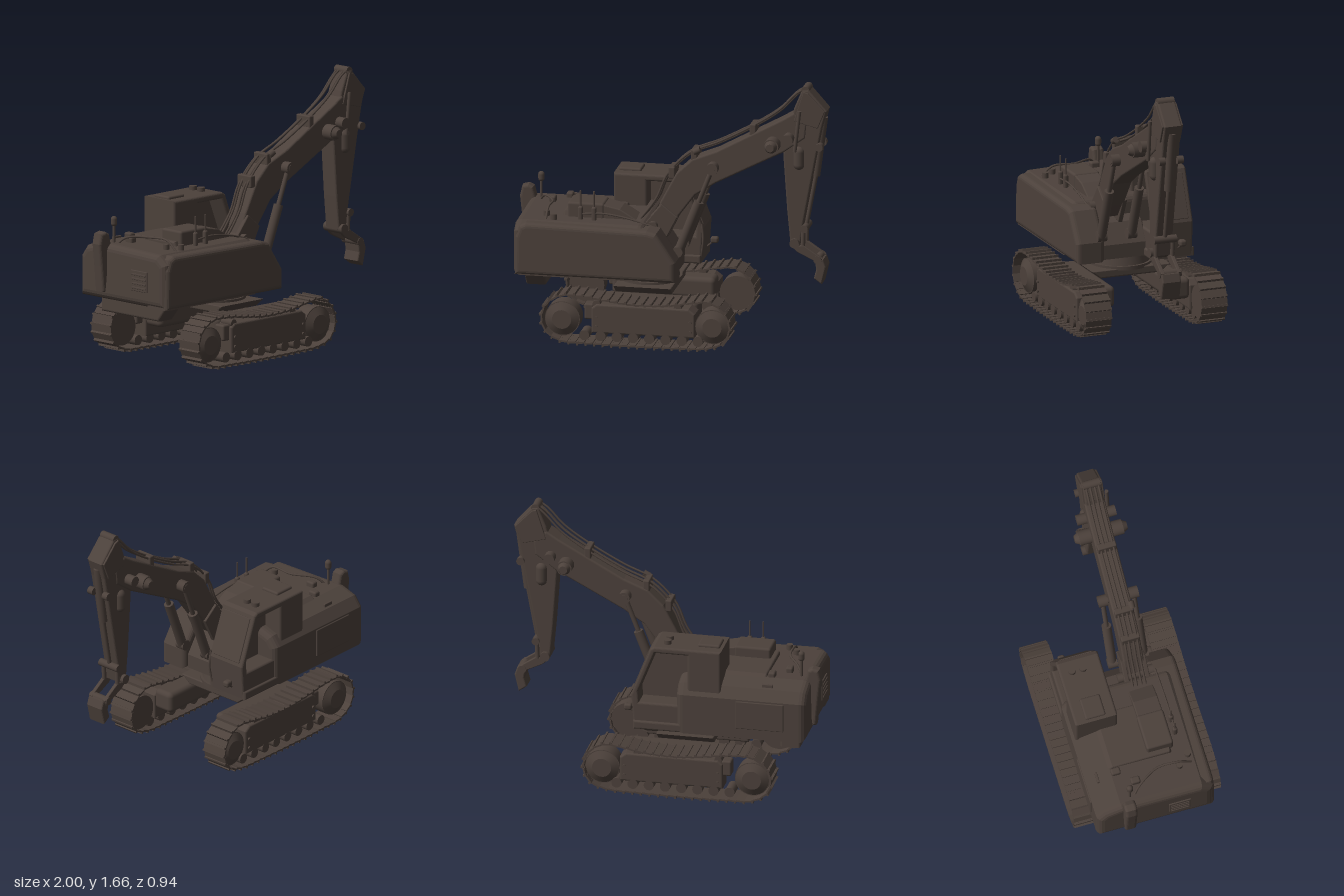
import * as THREE from 'three';
import { RoundedBoxGeometry } from 'three/addons/geometries/RoundedBoxGeometry.js';

export function createModel() {
  const root = new THREE.Group();
  root.name = 'excavator';
  const paint = new THREE.MeshStandardMaterial({ color: 0x4c413b });
  paint.name = 'dark brown';

  const add = (name, geo, parent = root) => {
    const m = new THREE.Mesh(geo, paint);
    m.name = name;
    parent.add(m);
    return m;
  };
  const toShape = (pts) => new THREE.Shape(pts.map((p) => new THREE.Vector2(p[0], p[1])));
  const sweep = (shape, length, b) => new THREE.ExtrudeGeometry(shape, {
    depth: length - 2 * b, bevelEnabled: true, bevelThickness: b, bevelSize: b, bevelOffset: -b, bevelSegments: 4,
  });
  // side profile swept from z0 to z1 with softened edges
  const slab = (name, pts, z0, z1, b = 0.015, hole = null, parent = root) => {
    const s = toShape(pts);
    if (hole) s.holes.push(toShape(hole));
    return add(name, sweep(s, z1 - z0, b).translate(0, 0, z0 + b), parent);
  };
  // (z, y) cross-section swept from x0 to x1
  const prism = (name, pts, x0, x1, b) => {
    const s = toShape(pts.map(([z, y]) => [-z, y]));
    return add(name, sweep(s, x1 - x0, b).rotateY(Math.PI / 2).translate(x0 + b, 0, 0));
  };
  // rounded box from its limits
  const box = (name, x0, x1, y0, y1, z0, z1, r = 0.012, parent = root) => {
    const g = new RoundedBoxGeometry(x1 - x0, y1 - y0, z1 - z0, 3, r);
    return add(name, g.translate((x0 + x1) / 2, (y0 + y1) / 2, (z0 + z1) / 2), parent);
  };
  // cylinder between two points
  const rod = (name, a, b, r, parent = root, r2 = r, sides = 20) => {
    const A = new THREE.Vector3(...a), B = new THREE.Vector3(...b), d = B.clone().sub(A);
    const m = add(name, new THREE.CylinderGeometry(r2, r, d.length(), sides), parent);
    m.position.copy(A).add(B).multiplyScalar(0.5);
    m.quaternion.setFromUnitVectors(new THREE.Vector3(0, 1, 0), d.normalize());
    return m;
  };
  const hose = (name, pts, r) => add(name, new THREE.TubeGeometry(
    new THREE.CatmullRomCurve3(pts.map((p) => new THREE.Vector3(...p))), 40, r, 8));

  // crawler tracks
  const loop = new THREE.CatmullRomCurve3([
    [-0.738, 0.17], [-0.71, 0.255], [-0.62, 0.315], [-0.48, 0.32], [-0.33, 0.3], [-0.15, 0.282], [0.05, 0.29],
    [0.2, 0.315], [0.32, 0.322], [0.41, 0.26], [0.442, 0.16], [0.4, 0.07], [0.3, 0.03], [0.1, 0.02], [-0.2, 0.017],
    [-0.45, 0.02], [-0.62, 0.03], [-0.71, 0.085],
  ].map((p) => new THREE.Vector3(p[0], p[1], 0)), true);
  const shoeCount = 50;
  const shoeGeo = new THREE.BoxGeometry(0.053, 0.011, 0.172);
  const cleatGeo = new THREE.BoxGeometry(0.012, 0.02, 0.172);
  for (const s of [1, -1]) {
    const track = new THREE.Group();
    track.name = s > 0 ? 'nearTrack' : 'farTrack';
    root.add(track);
    for (let i = 0; i < shoeCount; i++) {
      const p = loop.getPointAt(i / shoeCount), t = loop.getTangentAt(i / shoeCount);
      const shoe = new THREE.Group();
      shoe.name = 'trackShoe';
      shoe.position.set(p.x, p.y, s * 0.385);
      shoe.rotation.z = Math.atan2(t.y, t.x) + 0.1;
      add('shoePlate', shoeGeo, shoe);
      add('shoeCleat', cleatGeo, shoe).position.set(0.02, 0.004, 0);
      track.add(shoe);
    }
    const zz = (a, b) => (s > 0 ? [a, b] : [-b, -a]);
    for (const x of [-0.615, 0.33]) {
      rod('trackWheel', [x, 0.158, s * 0.325], [x, 0.158, s * 0.425], 0.11, track, 0.11, 28);
      rod('wheelHub', [x, 0.158, s * 0.425], [x, 0.158, s * 0.45], 0.105, track, 0.06, 28);
    }
    slab('trackFrame', [[-0.43, 0.08], [0.22, 0.08], [0.22, 0.235], [0.18, 0.265], [-0.4, 0.265], [-0.43, 0.24]],
      ...zz(0.31, 0.44), 0.012, null, track);
    box('tensioner', -0.48, -0.42, 0.16, 0.26, ...zz(0.34, 0.42), 0.012, track);
    box('innerFrame', -0.43, 0.22, 0.15, 0.285, ...zz(0.18, 0.32), 0.03, track);
    for (let i = 0; i < 8; i++) {
      const x = -0.475 + i * 0.102;
      rod('roller', [x, 0.062, s * 0.33], [x, 0.062, s * 0.44], 0.032, track);
    }
    for (const x of [-0.4, -0.16, 0.11])
      rod('carrierRoller', [x, 0.265, s * 0.34], [x, 0.265, s * 0.43], 0.024, track);
    for (const x of [-0.4, 0.19]) for (const y of [0.12, 0.18])
      rod('frameBolt', [x, y, s * 0.435], [x, y, s * 0.45], 0.01, track, 0.01, 10);
  }

  // undercarriage centre and slewing ring
  prism('carBody', [[-0.2, 0.285], [0.2, 0.285], [0.26, 0.335], [-0.26, 0.335]], -0.33, 0.03, 0.01);
  for (const [y0, y1, ra, rb] of [[0.325, 0.35, 0.2, 0.2], [0.35, 0.42, 0.185, 0.17]])
    rod('slewRing', [-0.15, y0, 0], [-0.15, y1, 0], ra, root, rb, 40);
  prism('rearUndertray', [[-0.25, 0.315], [0.25, 0.315], [0.31, 0.39], [0.3, 0.42], [-0.25, 0.42]], -0.88, -0.75, 0.015);
  slab('rearBracket', [[-0.76, 0.34], [-0.62, 0.39], [-0.62, 0.42], [-0.76, 0.42]], -0.12, 0.18, 0.008);

  // upper body with sloping shoulders
  prism('mainHull', [[-0.378, 0.405], [0.37, 0.405], [0.37, 0.69], [0.3, 0.745], [-0.22, 0.76], [-0.33, 0.725], [-0.378, 0.66]],
    -0.94, -0.12, 0.045);
  slab('sideTank', [[-0.93, 0.405], [0.08, 0.405], [0.08, 0.535], [-0.04, 0.715], [-0.1, 0.73], [-0.86, 0.74], [-0.9, 0.72],
    [-0.925, 0.65]], 0.19, 0.38, 0.03);
  slab('boomDeck', [[-0.3, 0.41], [0.05, 0.41], [0.05, 0.5], [-0.03, 0.62], [-0.3, 0.68]], -0.1, 0.2, 0.012);
  slab('cabBase', [[-0.42, 0.405], [0.15, 0.405], [0.15, 0.46], [-0.42, 0.46]], -0.375, -0.08, 0.012);

  // engine hood: low hump with a taller box beside the boom
  prism('engineHood', [[-0.32, 0.7], [0.2, 0.7], [0.17, 0.775], [-0.2, 0.775]], -0.66, -0.3, 0.012);
  box('airBox', -0.63, -0.4, 0.72, 0.84, 0.03, 0.2, 0.015);
  slab('hoodStep', [[-0.42, 0.72], [-0.12, 0.7], [-0.3, 0.81], [-0.42, 0.835]], 0.035, 0.195, 0.008);

  // rear fittings
  slab('rearDuct', [[-0.97, 0.46], [-0.945, 0.455], [-0.925, 0.6], [-0.895, 0.74], [-0.915, 0.82], [-0.945, 0.835], [-0.985, 0.825],
    [-1.0, 0.76], [-0.985, 0.62]], -0.212, -0.135, 0.018);
  box('rearGrille', -0.948, -0.93, 0.5, 0.63, 0.08, 0.22, 0.004);
  for (let i = 0; i < 4; i++) box('grilleBar', -0.953, -0.937, 0.515 + i * 0.028, 0.527 + i * 0.028, 0.09, 0.21, 0.003);
  rod('beaconPost', [-0.865, 0.73, -0.15], [-0.865, 0.88, -0.15], 0.008);
  add('beacon', new THREE.CapsuleGeometry(0.02, 0.025, 6, 14)).position.set(-0.865, 0.89, -0.15);
  for (const [x, z] of [[-0.78, -0.09], [-0.69, -0.19]]) box('fillerBox', x - 0.022, x + 0.022, 0.73, 0.79, z - 0.03, z + 0.03);
  for (const [x, z] of [[-0.7, 0.27], [-0.76, 0.2]]) rod('fillerCap', [x, 0.73, z], [x, 0.78, z], 0.02);
  for (const x of [-0.54, -0.455]) {
    box('railFoot', x - 0.015, x + 0.015, 0.725, 0.83, 0.22, 0.25);
    rod('railPost', [x, 0.73, 0.235], [x, 0.93, 0.235], 0.005);
  }
  hose('topRail', [[-0.55, 0.78, 0.24], [-0.4, 0.79, 0.24], [-0.25, 0.77, 0.24], [-0.1, 0.73, 0.24]], 0.006);
  hose('rearRail', [[-0.87, 0.74, -0.13], [-0.83, 0.79, -0.08], [-0.75, 0.8, 0.06], [-0.75, 0.8, 0.2], [-0.75, 0.74, 0.28]], 0.007);
  box('sideHandle', -0.72, -0.65, 0.725, 0.75, -0.315, -0.3, 0.004);
  box('sideDoor', -0.8, -0.5, 0.47, 0.65, -0.385, -0.37, 0.005);

  // cab with side windows
  const opening = [[-0.19, 0.58], [0.115, 0.58], [0.12, 0.65], [0.015, 0.915], [-0.19, 0.915]];
  slab('cab', [[-0.4, 0.41], [0.15, 0.41], [0.165, 0.63], [0.045, 0.94], [0.02, 0.955], [-0.4, 0.955]], -0.36, -0.09, 0.014, opening);
  slab('cabInterior', opening.map(([x, y]) => [x * 1.06, y + (y > 0.8 ? 0.008 : -0.008)]), -0.235, -0.215, 0.002);
  const shield = box('windshield', -0.005, 0.004, -0.145, 0.145, -0.105, 0.105, 0.004);
  shield.position.set(0.107, 0.785, -0.225);
  shield.rotation.z = 0.369;
  box('roofHatch', -0.38, -0.24, 0.945, 0.972, -0.29, -0.16, 0.012);
  for (const z of [-0.28, -0.21]) rod('roofLamp', [-0.05, 0.95, z], [-0.05, 0.98, z], 0.024);
  hose('mirrorArm', [[0.14, 0.46, -0.26], [0.17, 0.48, -0.27], [0.195, 0.505, -0.272]], 0.006);
  box('mirror', 0.175, 0.225, 0.49, 0.53, -0.295, -0.25, 0.014);
  hose('grabRail', [[0.15, 0.45, -0.1], [0.165, 0.56, -0.09], [0.155, 0.66, -0.095]], 0.007);

  // boom
  slab('boom', [[-0.14, 0.64], [-0.03, 0.66], [0.04, 0.75], [0.17, 0.925], [0.3, 1.01], [0.73, 1.235], [0.86, 1.33],
    [0.87, 1.42], [0.79, 1.49], [0.71, 1.44], [0.3, 1.215], [0.15, 1.155], [0.05, 1.06], [-0.05, 0.87]], 0.05, 0.18, 0.012);
  for (const z of [0.035, 0.165]) slab('boomFoot', [[-0.2, 0.66], [-0.02, 0.62], [0.06, 0.78], [-0.04, 0.86]], z, z + 0.03, 0.006);
  rod('boomFootPin', [-0.09, 0.72, 0.0], [-0.09, 0.72, 0.23], 0.03);

  // boom lift cylinders on both sides
  rod('liftPin', [0.285, 1.115, -0.015], [0.285, 1.115, 0.245], 0.022);
  for (const z of [0.015, 0.215]) {
    rod('liftBarrel', [0.07, 0.56, z], [0.2, 0.895, z], 0.03);
    rod('liftRod', [0.19, 0.87, z], [0.285, 1.115, z], 0.015);
    rod('liftFoot', [0.07, 0.57, z - 0.03], [0.07, 0.57, z + 0.03], 0.033);
    rod('liftEye', [0.285, 1.115, z - 0.028], [0.285, 1.115, z + 0.028], 0.037);
  }

  // joint discs beside the boom end
  for (const s of [1, -1]) {
    const z = (d) => 0.115 + s * d;
    rod('jointDisc', [0.66, 1.285, z(0.05)], [0.66, 1.285, z(0.14)], 0.048);
    rod('jointCap', [0.66, 1.285, z(0.14)], [0.66, 1.285, z(0.168)], 0.04, root, 0.025);
    rod('jointPin', [0.76, 1.33, z(0.05)], [0.76, 1.33, z(0.125)], 0.034);
    add('armPod', new THREE.CapsuleGeometry(0.036, 0.08, 6, 16)).position.set(0.82, 1.2, z(0.05));
    rod('headPin', [0.95, 1.28, z(0.04)], [0.95, 1.28, z(0.08)], 0.025);
  }
  rod('armPipe', [0.83, 1.51, 0.203], [0.8, 1.25, 0.203], 0.012);

  // dipper arm and its head
  slab('arm', [[0.765, 0.65], [0.8, 0.62], [0.83, 0.64], [0.845, 0.76], [0.93, 1.22], [0.965, 1.4], [0.995, 1.51], [0.88, 1.64],
    [0.84, 1.64], [0.79, 1.52], [0.74, 1.34], [0.72, 1.22], [0.745, 0.86]], 0.056, 0.174, 0.012);
  for (const z of [0.045, 0.167]) slab('armHeadPlate', [[0.79, 1.44], [0.94, 1.4], [0.985, 1.51], [0.88, 1.62], [0.85, 1.63]], z, z + 0.018, 0.004);
  rod('armTopPin', [0.86, 1.635, 0.06], [0.86, 1.635, 0.17], 0.026);
  rod('armFootPin', [0.795, 0.655, 0.035], [0.795, 0.655, 0.195], 0.03);
  rod('bucketBarrel', [0.965, 1.46, 0.115], [0.915, 1.08, 0.115], 0.028);
  rod('bucketRod', [0.92, 1.1, 0.115], [0.855, 0.75, 0.115], 0.014);
  rod('bucketEye', [0.855, 0.75, 0.04], [0.855, 0.75, 0.19], 0.024);

  // linkage and small bucket
  for (const z of [0.05, 0.16]) {
    rod('linkArm', [0.85, 0.75, z + 0.01], [0.845, 0.635, z + 0.01], 0.014);
    slab('bucketLink', [[0.78, 0.63], [0.81, 0.6], [0.955, 0.53], [0.97, 0.565], [0.85, 0.645]], z, z + 0.025, 0.005);
  }
  rod('bucketPin', [0.94, 0.555, 0.045], [0.94, 0.555, 0.19], 0.025);
  slab('bucket', [[0.92, 0.57], [0.975, 0.56], [0.992, 0.51], [0.965, 0.4], [0.915, 0.435], [0.93, 0.49]], 0.06, 0.185, 0.01);

  // hydraulic hoses along the boom with clamps
  [0.075, 0.1, 0.13, 0.155].forEach((z, i) => {
    const d = 0.014 * (i % 2);
    hose('boomHose', [[-0.2, 0.72, z], [-0.08, 0.87 + d, z], [-0.01, 1.03 + d, z], [0.13, 1.175 + d, z], [0.32, 1.26 + d, z],
      [0.54, 1.38 + d, z], [0.7, 1.49 + d, z], [0.8, 1.595 + d, z], [0.865, 1.65, z]], 0.007);
  });
  for (const [x, y] of [[0.02, 1.06], [0.16, 1.18], [0.53, 1.365]])
    box('hoseClamp', x - 0.02, x + 0.02, y - 0.04, y + 0.035, 0.055, 0.175, 0.008);
  rod('workLamp', [0.16, 1.2, 0.17], [0.2, 1.22, 0.17], 0.02);
  return root;
}
